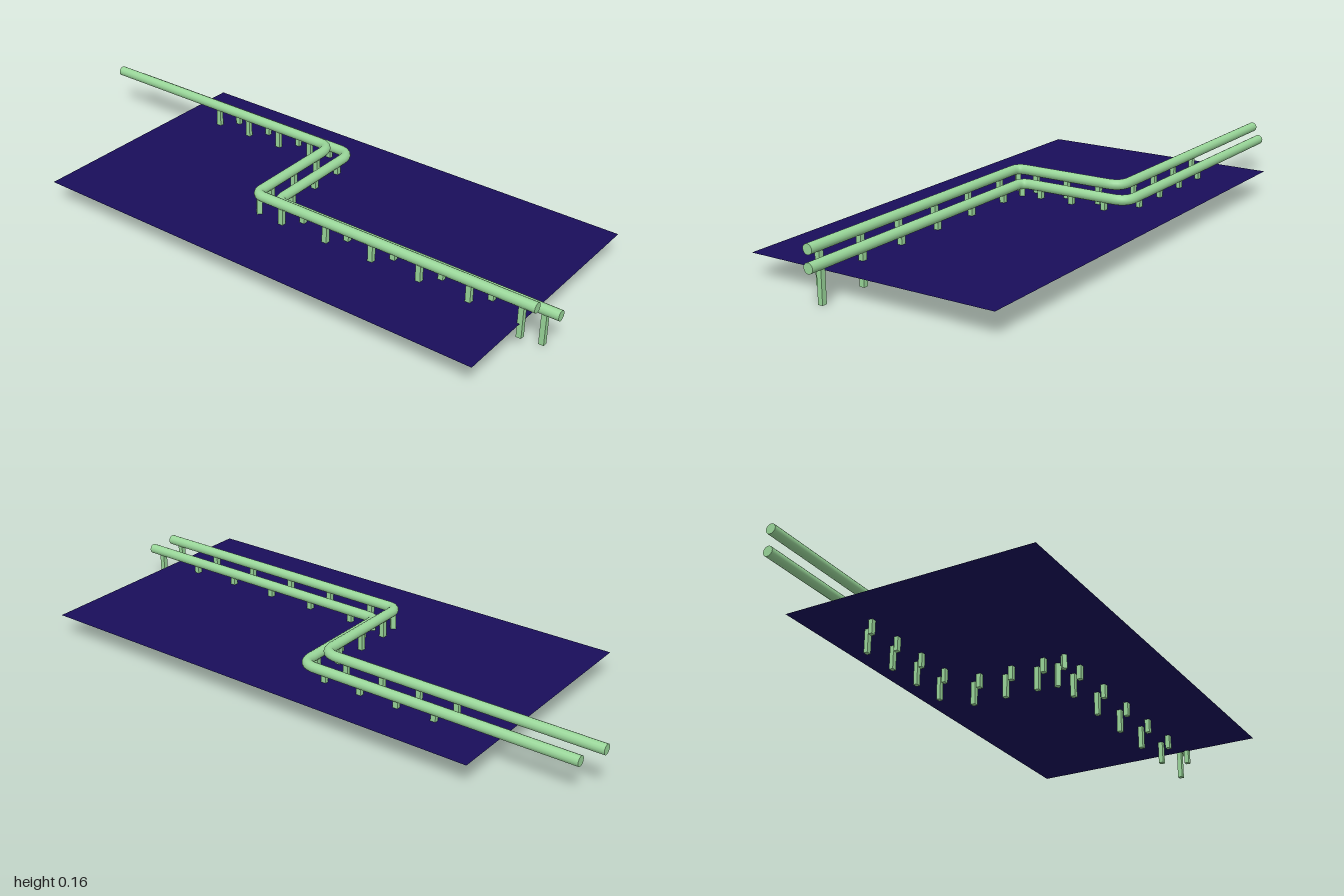
import * as THREE from 'three';

const green = new THREE.MeshStandardMaterial({ color: 0x99d699 });
const navy = new THREE.MeshStandardMaterial({ color: 0x190e5a, side: THREE.DoubleSide });
const RADIUS = 0.0165;

// Z-shaped path: back run, rounded corner, cross run, rounded corner, front run
function pipePath(x0, xMid, x1, zBack, zFront, y) {
  const p = (x, z) => new THREE.Vector3(x, y, z);
  const rb = 0.05, rf = 0.033;
  const path = new THREE.CurvePath();
  path.add(new THREE.LineCurve3(p(x0, zBack), p(xMid - rb, zBack)));
  path.add(new THREE.QuadraticBezierCurve3(p(xMid - rb, zBack), p(xMid, zBack), p(xMid, zBack + rb)));
  path.add(new THREE.LineCurve3(p(xMid, zBack + rb), p(xMid, zFront - rf)));
  path.add(new THREE.QuadraticBezierCurve3(p(xMid, zFront - rf), p(xMid, zFront), p(xMid + rf, zFront)));
  path.add(new THREE.LineCurve3(p(xMid + rf, zFront), p(x1, zFront)));
  return path;
}

// One pipeline: tube, flat end caps and its row of support posts
function pipeline(name, { x0, xMid, x1, zBack, zFront, y, foot }) {
  const group = new THREE.Group();
  group.name = name;

  const tube = new THREE.Mesh(
    new THREE.TubeGeometry(pipePath(x0, xMid, x1, zBack, zFront, y), 240, RADIUS, 14), green);
  tube.name = 'pipe';
  group.add(tube);

  for (const [x, z, side] of [[x0, zBack, -1], [x1, zFront, 1]]) {
    const cap = new THREE.Mesh(new THREE.CircleGeometry(RADIUS, 14), green);
    cap.name = 'pipeEnd';
    cap.position.set(x, y, z);
    cap.rotation.y = side * Math.PI / 2;
    group.add(cap);
  }

  const post = (x, z, depth = 0.016, turn = 0) => {
    const mesh = new THREE.Mesh(new THREE.BoxGeometry(0.017, y - foot, depth), green);
    mesh.name = 'supportPost';
    mesh.position.set(x, (y + foot) / 2, z);
    mesh.rotation.y = turn;
    group.add(mesh);
  };
  // back run, cross run, corner and front run
  for (let i = 0; i < 4; i++) post(xMid - 0.086 - i * 0.132, zBack + 0.003, 0.0135);
  for (const dz of [-0.075, -0.191, -0.31]) post(xMid + 0.002, zFront + dz);
  post(xMid + 0.01, zFront - 0.007, 0.016, Math.PI / 4);
  for (let i = 0; i < 6; i++) post(xMid + 0.105 + i * 0.169, zFront);
  return group;
}

export function createModel() {
  const model = new THREE.Group();
  model.name = 'pipelineModel';

  // thin sheet that the posts pass through
  const sheet = new THREE.Mesh(new THREE.PlaneGeometry(1.59, 0.841), navy);
  sheet.name = 'groundSheet';
  sheet.rotation.x = -Math.PI / 2;
  sheet.position.set(0.11, 0.078, -0.002);
  model.add(sheet);

  model.add(pipeline('upperPipeline',
    { x0: -1, xMid: -0.045, x1: 0.95, zBack: -0.227, zFront: 0.162, y: 0.147, foot: 0.031 }));
  model.add(pipeline('lowerPipeline',
    { x0: -0.95, xMid: 0.002, x1: 1, zBack: -0.275, zFront: 0.114, y: 0.116, foot: 0 }));
  return model;
}
